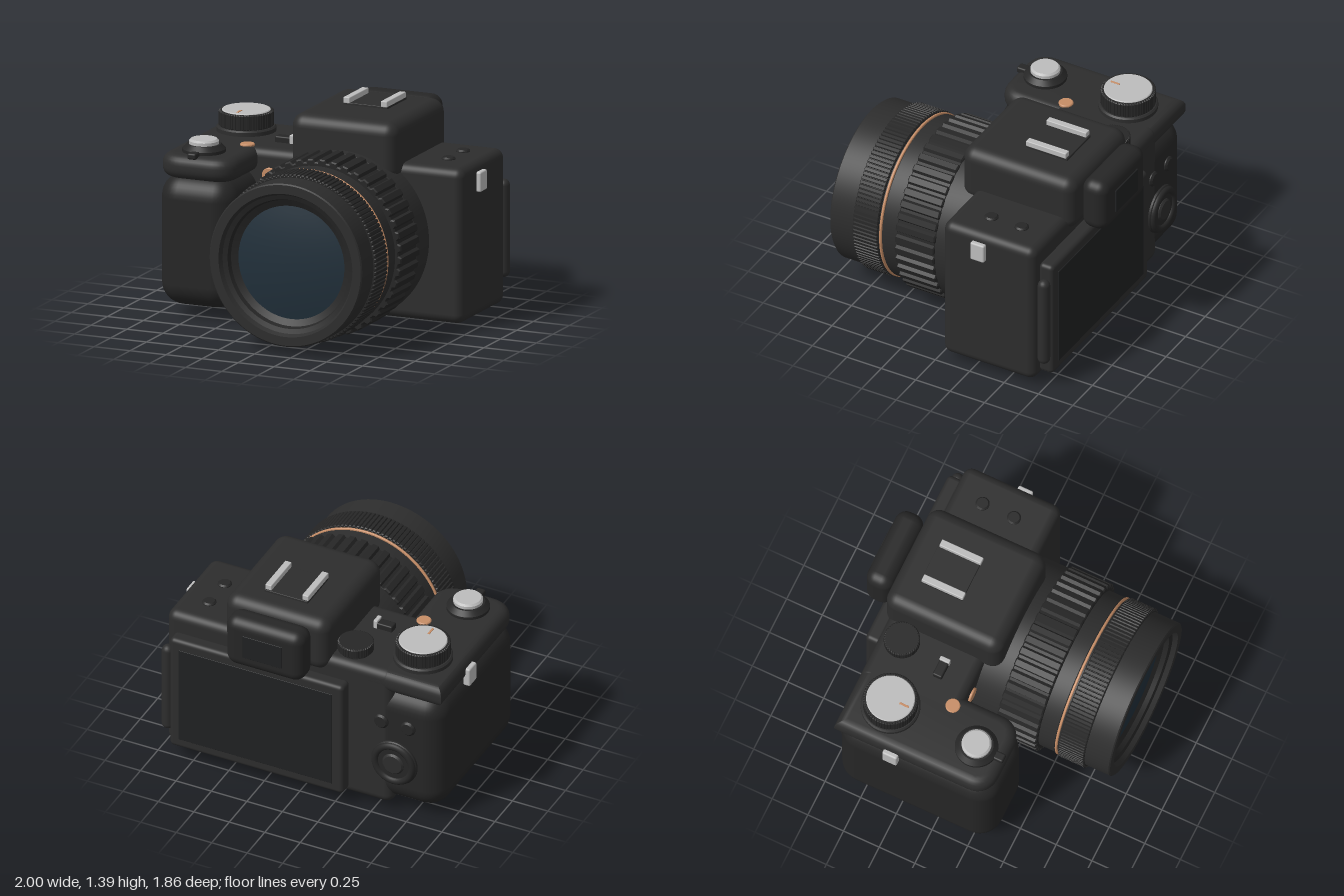
import * as THREE from 'three';
import { RoundedBoxGeometry } from 'three/addons/geometries/RoundedBoxGeometry.js';
import { toCreasedNormals } from 'three/addons/utils/BufferGeometryUtils.js';

const mat = (name, color) => {
  const m = new THREE.MeshStandardMaterial({ color });
  m.name = name;
  return m;
};

export function createModel() {
  const model = new THREE.Group();
  model.name = 'camera';

  const body = mat('body charcoal', 0x2d2d2d);
  const rubber = mat('rubber black', 0x262626);
  const screenBlack = mat('screen black', 0x202122);
  const silver = mat('silver', 0xbdbdbd);
  const copper = mat('copper', 0xc68d66);
  const glass = mat('lens glass', 0x21303b);

  const add = (name, geo, material, parent = model) => {
    const mesh = new THREE.Mesh(geo, material);
    mesh.name = name;
    parent.add(mesh);
    return mesh;
  };

  // Rounded box given by its limits on each axis
  const box = (name, [x0, x1], [y0, y1], [z0, z1], r, material) => {
    const geo = new RoundedBoxGeometry(x1 - x0, y1 - y0, z1 - z0, 5, r);
    const mesh = add(name, geo, material);
    mesh.position.set((x0 + x1) / 2, (y0 + y1) / 2, (z0 + z1) / 2);
    return mesh;
  };

  // Turned part: profile of [radius, height] from bottom to top
  const turned = (profile, segments = 64) => toCreasedNormals(
    new THREE.LatheGeometry(profile.map(([r, h]) => new THREE.Vector2(r, h)), segments), 0.5);

  // Disc with a small chamfer on the upper edge
  const disc = (r, h, c = 0.01) => turned([[0, 0], [r, 0], [r, h - c], [r - c, h], [0, h]], 48);

  // Upright disc standing on the top of the body
  const topDisc = (name, x, z, r, y0, y1, material, c) => {
    const mesh = add(name, disc(r, y1 - y0, c), material);
    mesh.position.set(x, y0, z);
    return mesh;
  };

  // Ribbed ring extruded along +z
  const ribbed = (r, depth, length, count, bevel = 0.006) => {
    const shape = new THREE.Shape();
    for (let i = 0; i < count; i++) {
      [[0, r - depth], [0.35, r - depth], [0.5, r], [0.85, r]].forEach(([t, rad], k) => {
        const a = ((i + t) / count) * Math.PI * 2;
        const x = Math.cos(a) * (rad - bevel), y = Math.sin(a) * (rad - bevel);
        if (i + k === 0) shape.moveTo(x, y); else shape.lineTo(x, y);
      });
    }
    shape.closePath();
    const geo = new THREE.ExtrudeGeometry(shape, {
      depth: length - 2 * bevel, bevelEnabled: true, bevelSize: bevel, bevelThickness: bevel, bevelSegments: 1,
    });
    return geo.translate(0, 0, bevel);
  };

  // Main body, grip and overhanging top plate
  box('mainBody', [-0.62, 0.97], [0.05, 1.06], [-0.7, -0.03], 0.06, body);
  box('grip', [-0.97, -0.45], [0.075, 0.93], [-0.7, 0.4], 0.15, rubber);
  const plate = new THREE.Shape();
  const b = 0.065, x0 = -0.97 + b, x1 = -0.45 - b, z0 = -0.7 + b, z1 = 0.38 - b;
  plate.moveTo(x0, z0);
  plate.lineTo(x1, z0);
  plate.lineTo(x1, z1 - 0.08);
  plate.quadraticCurveTo(x1, z1, x1 - 0.1, z1);
  plate.lineTo(x0 + 0.1, z1);
  plate.quadraticCurveTo(x0, z1, x0, z1 - 0.08);
  plate.closePath();
  const plateGeo = new THREE.ExtrudeGeometry(plate, {
    depth: 0.155 - 2 * b, bevelEnabled: true, bevelSize: b, bevelThickness: b, bevelSegments: 6, curveSegments: 8,
  });
  plateGeo.rotateX(Math.PI / 2).translate(0, 1.06 - b, 0);
  add('topPlate', toCreasedNormals(plateGeo, 0.7), body);

  // Viewfinder hump and eyecup
  box('viewfinderHump', [-0.185, 0.55], [0.95, 1.335], [-0.74, 0.08], 0.085, body);
  box('eyecup', [-0.095, 0.455], [0.95, 1.315], [-0.92, -0.735], 0.075, rubber);
  box('eyepieceWindow', [0.04, 0.32], [1.05, 1.215], [-0.929, -0.919], 0.003, screenBlack);

  // Accessory shoe
  box('shoeBase', [0.03, 0.335], [1.33, 1.35], [-0.58, -0.285], 0.004, body);
  for (const x of [0.03, 0.29]) box('shoeRail', [x, x + 0.045], [1.345, 1.385], [-0.57, -0.28], 0.006, silver);

  // Folding screen with its hinge
  box('screenPanel', [-0.325, 0.9], [0.1, 0.93], [-0.796, -0.69], 0.03, body);
  box('screenDisplay', [-0.25, 0.83], [0.17, 0.86], [-0.802, -0.794], 0.003, screenBlack);
  const hinge = add('screenHinge', new THREE.CapsuleGeometry(0.04, 0.56, 6, 20), body);
  hinge.position.set(0.93, 0.52, -0.75);

  // Rear control pad and buttons
  const rearDisc = (name, x, y, r, z, h, material) => {
    const mesh = add(name, disc(r, h, 0.012), material);
    mesh.rotation.x = -Math.PI / 2;
    mesh.position.set(x, y, z + h);
  };
  rearDisc('controlPad', -0.645, 0.4, 0.16, -0.725, 0.07, rubber);
  const padRing = add('controlPadRing', new THREE.TorusGeometry(0.13, 0.024, 10, 48), rubber);
  padRing.position.set(-0.645, 0.4, -0.72);
  rearDisc('controlPadCentre', -0.645, 0.4, 0.075, -0.74, 0.05, body);
  for (const x of [-0.55, -0.74]) rearDisc('rearButton', x, 0.69, 0.05, -0.72, 0.05, rubber);

  // Mode dial
  topDisc('modeDialBase', -0.71, -0.43, 0.19, 1.05, 1.095, body);
  const dialKnurl = add('modeDialKnurl', ribbed(0.175, 0.007, 0.1, 60), rubber);
  dialKnurl.rotation.x = -Math.PI / 2;
  dialKnurl.position.set(-0.71, 1.093, -0.43);
  topDisc('modeDialCap', -0.71, -0.43, 0.155, 1.18, 1.2, silver, 0.005);
  box('modeDialMark', [-0.722, -0.708], [1.196, 1.204], [-0.365, -0.3], 0.002, copper);

  // Shutter button with its switch collar
  topDisc('shutterCollar', -0.725, 0.18, 0.138, 1.04, 1.11, rubber, 0.03);
  topDisc('shutterButton', -0.725, 0.18, 0.095, 1.1, 1.142, silver, 0.012);
  box('shutterSwitchTab', [-0.755, -0.695], [1.045, 1.085], [0.28, 0.375], 0.012, rubber);

  // Rear dial, lever and small top buttons
  topDisc('rearDialBase', -0.295, -0.55, 0.1, 1.05, 1.08, body);
  const rearDial = add('rearDial', ribbed(0.115, 0.005, 0.065, 44), rubber);
  rearDial.rotation.x = -Math.PI / 2;
  rearDial.position.set(-0.295, 1.072, -0.55);
  box('lever', [-0.415, -0.29], [1.05, 1.1], [-0.28, -0.215], 0.01, rubber);
  box('leverTip', [-0.312, -0.284], [1.055, 1.115], [-0.282, -0.212], 0.006, silver);
  topDisc('recordButton', -0.54, -0.075, 0.047, 1.05, 1.072, copper, 0.005);
  for (const z of [-0.495, -0.275]) topDisc('topButton', 0.765, z, 0.045, 1.05, 1.075, rubber);

  // Copper button on the front face
  const frontButton = add('frontButton', disc(0.05, 0.025, 0.004), copper);
  frontButton.rotation.x = Math.PI / 2;
  frontButton.position.set(-0.365, 0.89, -0.04);

  // Strap lugs on both sides
  for (const s of [-1, 1]) {
    const lug = box('strapLug', [0.95, 1], [0.87, 1], [-0.352, -0.25], 0.012, silver);
    lug.position.x *= s;
  }

  // Tripod socket under the body
  const socket = add('tripodSocket', turned([[0.055, 0], [0.095, 0], [0.095, 0.03], [0.055, 0.03], [0.055, 0]], 40), silver);
  socket.position.set(0.18, 0.036, -0.365);
  topDisc('tripodHole', 0.18, -0.365, 0.056, 0.044, 0.07, screenBlack);

  // Lens, built along +z
  const lens = new THREE.Group();
  lens.name = 'lens';
  lens.position.set(0.183, 0.578, 0);
  model.add(lens);
  const ring = (name, profile, material) =>
    add(name, turned(profile, 96).rotateX(Math.PI / 2), material, lens);
  const barrel = (r, a, z, c = 0.008) => [[0, a], [r - c, a], [r, a + c], [r, z - c], [r - c, z], [0, z]];
  ring('lensMount', barrel(0.558, -0.05, 0.16), body);
  add('zoomRing', ribbed(0.578, 0.02, 0.285, 44, 0.008), rubber, lens).position.z = 0.15;
  ring('middleBarrel', barrel(0.535, 0.42, 0.552), body);
  ring('copperRing', barrel(0.543, 0.55, 0.566, 0.004), copper);
  ring('lensCore', barrel(0.53, 0.56, 0.58, 0.002), body);
  add('focusRing', ribbed(0.55, 0.009, 0.18, 120), rubber, lens).position.z = 0.575;
  ring('frontBarrel', [[0.5, 0.75], [0.53, 0.75], [0.53, 0.922], [0.522, 0.93], [0.465, 0.93], [0.45, 0.9]], body);
  ring('frontHood', [[0.45, 0.9], [0.42, 0.89], [0.41, 0.86], [0.36, 0.835]], rubber);
  const dome = [];
  for (let i = 0; i <= 8; i++) {
    const t = i / 8;
    dome.push([0.368 * (1 - t), 0.84 + 0.035 * (1 - (1 - t) ** 2)]);
  }
  ring('frontGlass', dome, glass);

  return model;
}
